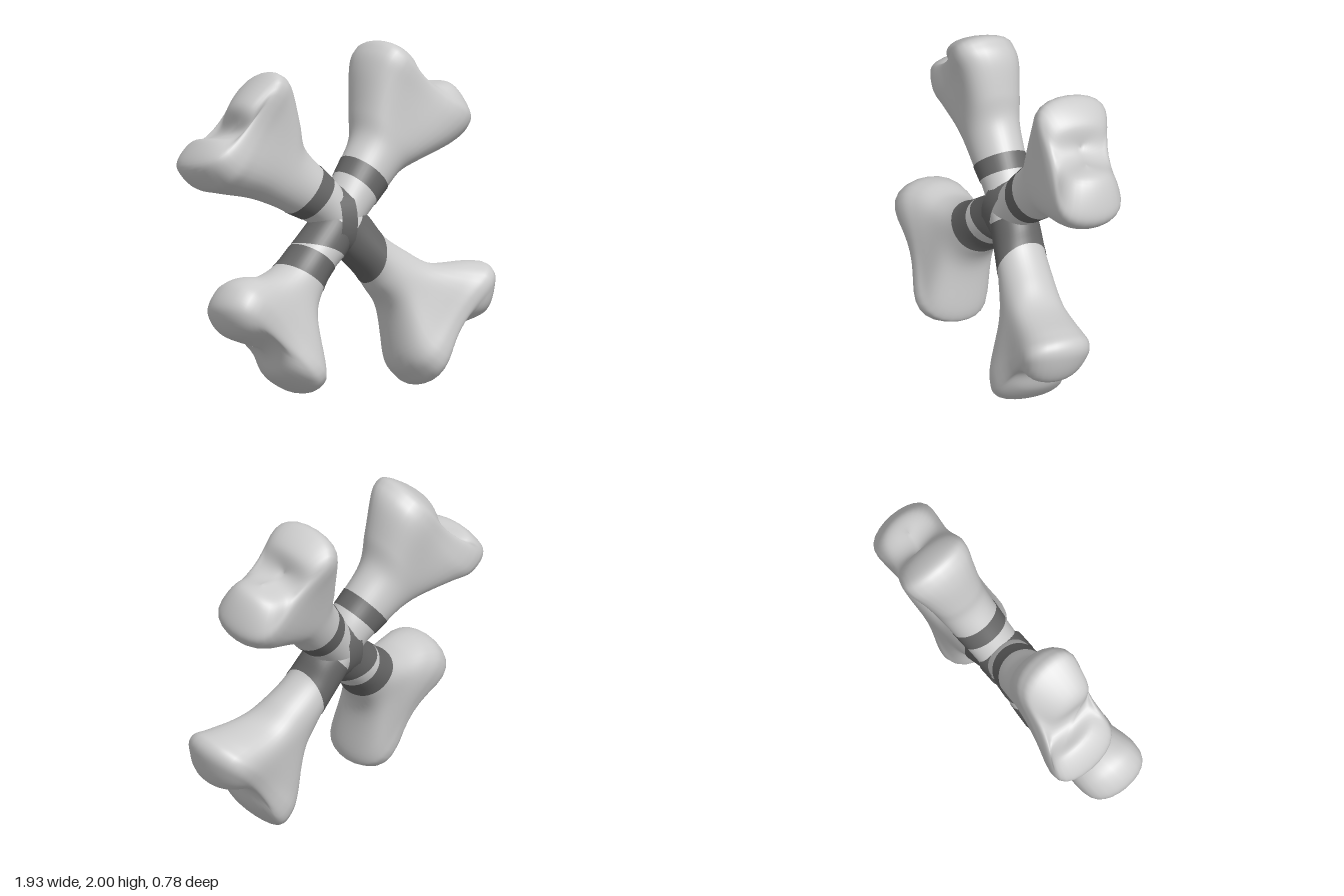
import * as THREE from 'three';
import { mergeVertices } from 'three/addons/utils/BufferGeometryUtils.js';

const LEAN = 0.18; // the crossed bones lean backwards
const MID_Y = 1.01;
// Along each arm: half depth, and how far the middle is set back between the knobs
const DEPTH = [0.135, 0.14, 0.15, 0.16, 0.175, 0.195, 0.2, 0.185, 0.135, 0];
const NOTCH = [0, 0, 0, 0, 0, 0, -0.02, -0.06, -0.1, -0.02];

// Arms: sx, sy = quadrant; zA, zB = knob shifts; dA, dB = knob thickness;
// rows = inner edge x, y and outer edge x, y from the shaft to the notched end
const upperLeftArm = {
  sx: 1, sy: 1, zA: -0.01, zB: 0.02, dA: 1.05, dB: 0.93,
  rows: [[.11, 1.36, .34, 1.14], [.19, 1.48, .45, 1.23], [.22, 1.62, .58, 1.28], [.27, 1.84, .8, 1.35],
    [.33, 1.95, .92, 1.43], [.42, 1.99, .94, 1.53], [.56, 1.9, .86, 1.7], [.59, 1.76, .73, 1.735]],
};
const upperRightArm = {
  sx: -1, sy: 1, zA: 0.1, zB: -0.08, dA: 0.85, dB: 1.05,
  rows: [[-.11, 1.33, -.33, 1.08], [-.23, 1.47, -.45, 1.14], [-.27, 1.63, -.58, 1.19], [-.33, 1.82, -.76, 1.23],
    [-.4, 1.9, -.88, 1.27], [-.49, 1.91, -.97, 1.4], [-.68, 1.77, -.87, 1.54], [-.705, 1.64, -.78, 1.545]],
};
const lowerRightArm = {
  sx: -1, sy: -1, zA: 0.03, zB: 0.05, dA: 1, dB: 0.93,
  rows: [[-.1, .72, -.32, .9], [-.2, .61, -.45, .8], [-.28, .45, -.6, .75], [-.28, .14, -.76, .76],
    [-.33, .07, -.88, .72], [-.42, .06, -.96, .6], [-.58, .16, -.9, .45], [-.625, .28, -.73, .36]],
};
const lowerLeftArm = {
  sx: 1, sy: -1, zA: -0.01, zB: 0.07, dA: 1.05, dB: 0.95,
  rows: [[.12, .68, .27, .9], [.18, .59, .42, .79], [.27, .45, .58, .7], [.3, .17, .83, .69],
    [.37, .06, .93, .67], [.47, .01, .96, .58], [.6, .14, .9, .4], [.645, .27, .74, .335]],
};

// Loft between the arm's two edges from row r0 to row r1;
// grow > 1 lifts it off the bone, slant runs the far border askew
function armSurface(arm, r0, r1, grow, steps, slant = 0) {
  const { sx, sy } = arm;
  const rows = [
    [-sx * 0.09, MID_Y + sy * 0.09, sx * 0.09, MID_Y - sy * 0.09],
    [0, MID_Y + sy * 0.21, sx * 0.19, MID_Y],
    ...arm.rows,
  ];
  const curve = (points) => new THREE.CatmullRomCurve3(points, false, 'catmullrom', 0.5);
  const inner = curve(rows.map((r) => new THREE.Vector3(r[0], r[1], 0)));
  const outer = curve(rows.map((r) => new THREE.Vector3(r[2], r[3], 0)));
  const form = curve(rows.map((r, i) => new THREE.Vector3(DEPTH[i], NOTCH[i], 0)));
  const axis = new THREE.Vector3(sx, sy, 0).normalize();
  const front = new THREE.Vector3(0, LEAN, 1).normalize();
  const sides = 40, positions = [], index = [];

  for (let i = 0; i <= steps; i++) {
    for (let j = 0; j < sides; j++) {
      const angle = j / sides * Math.PI * 2;
      const u = Math.cos(angle);
      const t = (r0 + (r1 + slant * u - r0) * i / steps) / (rows.length - 1);
      const a = inner.getPoint(t), p = outer.getPoint(t), f = form.getPoint(t);
      const knob = THREE.MathUtils.smoothstep(t, 0.25, 0.75);
      const w = (1 + u * grow) / 2;
      p.lerp(a, w).addScaledVector(axis, f.y * (1 - u * u));
      p.z = -LEAN * (p.y - 1) + knob * THREE.MathUtils.lerp(arm.zB, arm.zA, w);
      const thick = 1 + knob * (THREE.MathUtils.lerp(arm.dB, arm.dA, w) - 1);
      const depth = Math.max(f.x, 0) * thick * grow * (1 + 1.1 * knob * u * u);
      p.addScaledVector(front, depth * Math.sin(angle));
      positions.push(p.x, p.y, p.z);
    }
  }
  for (let i = 0; i < steps; i++) {
    for (let j = 0; j < sides; j++) {
      const k = (j + 1) % sides;
      const p = i * sides + j, q = i * sides + k, r = p + sides, s = q + sides;
      if (sx * sy > 0) index.push(p, q, r, q, s, r);
      else index.push(p, r, q, q, r, s);
    }
  }
  let geometry = new THREE.BufferGeometry();
  geometry.setAttribute('position', new THREE.Float32BufferAttribute(positions, 3));
  geometry.setIndex(index);
  geometry = mergeVertices(geometry, 1e-4); // closes the seam at the end
  geometry.computeVertexNormals();
  return geometry;
}

export function createModel() {
  const model = new THREE.Group();
  model.name = 'crossedBones';
  const bone = new THREE.MeshStandardMaterial({ color: 0xcccccc });
  const cloth = new THREE.MeshStandardMaterial({ color: 0x666666, side: THREE.DoubleSide });
  const add = (name, geometry, material) => {
    const mesh = new THREE.Mesh(geometry, material);
    mesh.name = name;
    model.add(mesh);
    return mesh;
  };

  // Four knobbed bone ends that meet in the middle
  const arms = { upperLeftArm, upperRightArm, lowerLeftArm, lowerRightArm };
  for (const [name, arm] of Object.entries(arms)) {
    add(name, armSurface(arm, 0, 9, 1, 72), bone);
  }

  // Wrappings around the shafts
  const bands = [
    ['upperLeftBand', upperLeftArm, 1.4, 2, 0],
    ['upperRightBand', upperRightArm, 1.35, 2, 0],
    ['lowerRightBand', lowerRightArm, 2, 3, 0],
    ['lowerRightWrap', lowerRightArm, 0.4, 1.55, -0.4],
    ['lowerLeftWrap', lowerLeftArm, 0.5, 2.2, 0.4],
  ];
  for (const [name, arm, r0, r1, slant] of bands) {
    add(name, armSurface(arm, r0, r1, 1.025, 8, slant), cloth);
  }

  // Strap looped over the crossing
  const strap = new THREE.CylinderGeometry(1, 1, 0.11, 32, 1, true);
  strap.rotateZ(Math.PI / 2).scale(1, 0.21, 0.155);
  const loop = add('centreStrap', strap, cloth);
  loop.position.set(-0.02, MID_Y, 0);
  loop.rotation.set(-Math.atan(LEAN), 0, -0.08);
  return model;
}
